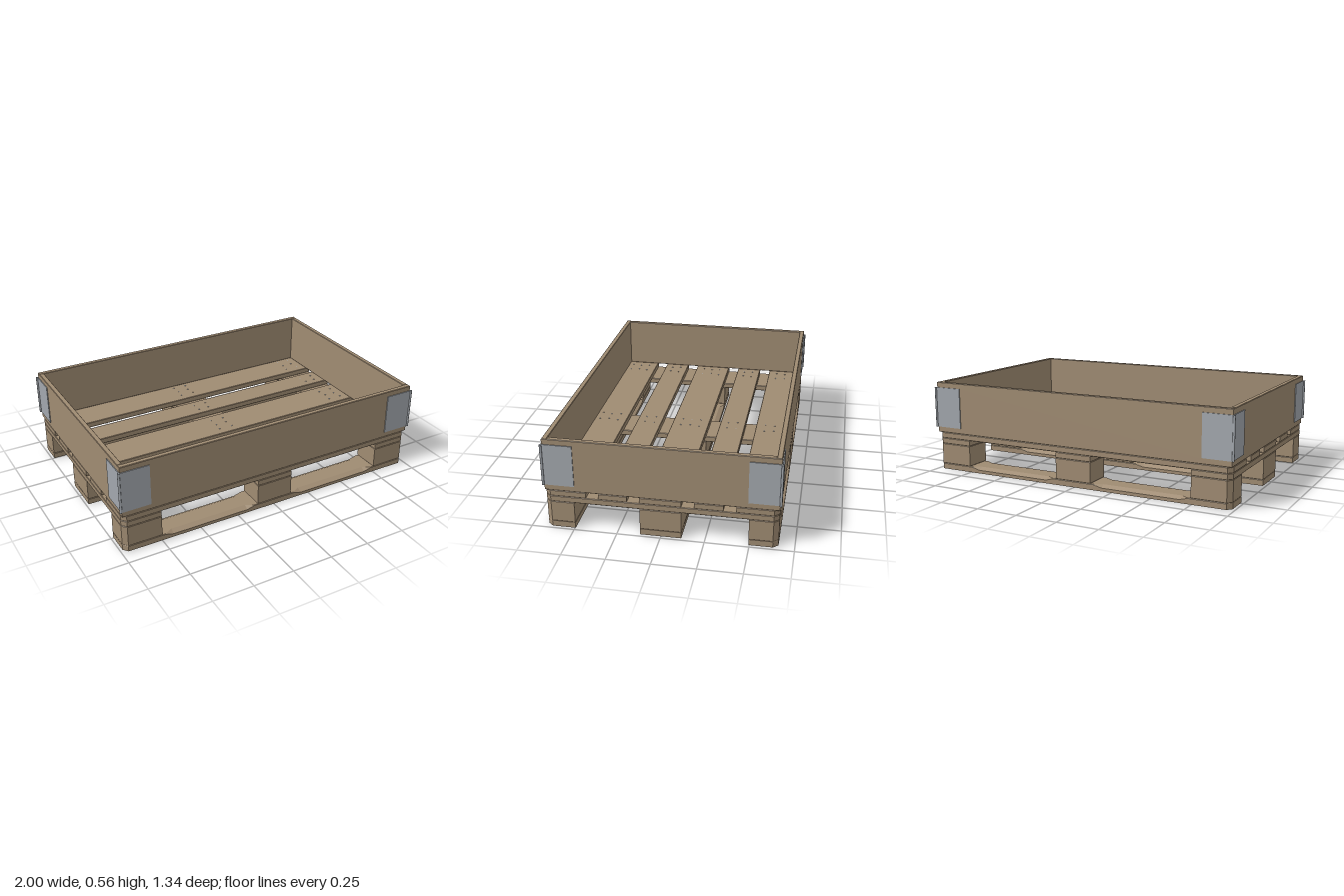
import * as THREE from 'three';

const HX = 0.985, HZ = 0.66;               // half length and half width of the pallet
const Y = [0.003, 0.039, 0.168, 0.204, 0.24, 0.56]; // layer heights

const wood = new THREE.MeshStandardMaterial({ color: 0x9f8b72 });
wood.name = 'wood';
const metal = new THREE.MeshStandardMaterial({ color: 0xa2a7ad });
metal.name = 'galvanised metal';

function add(parent, name, geometry, material) {
  const mesh = new THREE.Mesh(geometry, material);
  mesh.name = name;
  parent.add(mesh);
  return mesh;
}

// Board with slightly broken edges; corners on the pallet's outer corners can be cut off
function plank(x0, x1, z0, z1, y0, y1, cut = true) {
  const pts = [];
  for (const [x, z, first] of [[x0, z0, 'z'], [x1, z0, 'x'], [x1, z1, 'z'], [x0, z1, 'x']]) {
    if (cut && Math.abs(x) > HX - 0.001 && Math.abs(z) > HZ - 0.001) {
      const alongZ = [x, z - Math.sign(z) * 0.03];
      const alongX = [x - Math.sign(x) * 0.025, z];
      pts.push(...(first === 'z' ? [alongZ, alongX] : [alongX, alongZ]));
    } else pts.push([x, z]);
  }
  const b = 0.003;
  const shape = new THREE.Shape(pts.map(([x, z]) => new THREE.Vector2(x, -z)));
  return new THREE.ExtrudeGeometry(shape, {
    depth: y1 - y0 - 2 * b, bevelEnabled: true, bevelThickness: b,
    bevelSize: b, bevelOffset: -b, bevelSegments: 1,
  }).rotateX(-Math.PI / 2).translate(0, y0 + b, 0);
}

// Bottom runner: cross-sections along x, top edges chamfered between the blocks
function runner(z0, z1) {
  const half = [[0.14, 0], [0.19, 1], [0.68, 1], [0.73, 0], [HX - 0.025, 0], [HX, 0]];
  const stations = [...half.map(([x, c]) => [-x, c]).reverse(), ...half];
  const rings = stations.map(([x, c]) => {
    const end = Math.abs(x) === HX;
    const a = z0 + (end && z0 <= -HZ ? 0.03 : 0);
    const b = z1 - (end && z1 >= HZ ? 0.03 : 0);
    const dy = c ? 0.016 : 0.003, dz = c ? 0.03 : 0.003;
    return [[Y[0], a], [Y[1] - dy, a], [Y[1], a + dz], [Y[1], b - dz], [Y[1] - dy, b], [Y[0], b]]
      .map(([y, z]) => [x, y, z]);
  });
  const pos = [];
  for (let s = 0; s < rings.length - 1; s++) {
    for (let i = 0; i < 6; i++) {
      const j = (i + 1) % 6, p = rings[s], q = rings[s + 1];
      pos.push(...p[i], ...p[j], ...q[j], ...p[i], ...q[j], ...q[i]);
    }
  }
  const first = rings[0], last = rings[rings.length - 1];
  for (let i = 1; i < 5; i++) {
    pos.push(...last[0], ...last[i], ...last[i + 1]);
    pos.push(...first[0], ...first[i + 1], ...first[i]);
  }
  const g = new THREE.BufferGeometry();
  g.setAttribute('position', new THREE.Float32BufferAttribute(pos, 3));
  g.computeVertexNormals();
  return g;
}

export function createModel() {
  const model = new THREE.Group();
  model.name = 'palletWithCollar';
  const pallet = new THREE.Group();
  pallet.name = 'pallet';
  const collar = new THREE.Group();
  collar.name = 'collar';
  const nails = new THREE.Group();
  nails.name = 'nails';
  model.add(pallet, collar, nails);

  const columns = [[-HX, -0.75], [-0.117, 0.117], [0.75, HX]];
  const runners = [[-HZ, -0.495], [-0.118, 0.118], [0.495, HZ]];
  const deck = [[-HZ, -0.424], [-0.352, -0.19], [-0.118, 0.118], [0.19, 0.352], [0.424, HZ]];

  // Pallet: runners, nine blocks, cross boards and deck boards
  for (const [z0, z1] of runners) {
    add(pallet, 'bottomRunner', runner(z0, z1), wood);
    for (const [x0, x1] of columns) add(pallet, 'block', plank(x0, x1, z0, z1, Y[1], Y[2]), wood);
  }
  for (const [x0, x1] of columns) add(pallet, 'crossBoard', plank(x0, x1, -HZ, HZ, Y[2], Y[3]), wood);
  for (const [z0, z1] of deck) add(pallet, 'deckBoard', plank(-HX, HX, z0, z1, Y[3], Y[4]), wood);

  // Nail heads on the deck and under the runners
  const head = new THREE.CylinderGeometry(0.004, 0.005, 0.003, 10);
  const nailRows = (z0, z1, y) => {
    const mid = (z0 + z1) / 2;
    const rows = z1 - z0 > 0.2 ? [-0.06, 0, 0.06] : [-0.03, 0.03];
    for (const cx of [-0.865, 0, 0.865]) {
      rows.forEach((dz, i) => {
        for (const side of [-1, 1]) {
          const dx = side * (i % 2 ? 0.035 : 0.045);
          add(nails, 'nail', head, metal).position.set(cx + dx, y, mid + dz);
        }
      });
    }
  };
  for (const [z0, z1] of deck) nailRows(z0, z1, Y[4] + 0.001);
  for (const [z0, z1] of runners) nailRows(z0, z1, 0.0015);

  // Collar boards: long sides cover the ends of the short ones
  const t = 0.03;
  for (const s of [-1, 1]) {
    const zs = [s * HZ, s * (HZ - t)].sort((a, b) => a - b);
    const xs = [s * HX, s * (HX - t)].sort((a, b) => a - b);
    add(collar, 'longBoard', plank(-HX, HX, ...zs, Y[4], Y[5], false), wood);
    add(collar, 'shortBoard', plank(...xs, t - HZ, HZ - t, Y[4], Y[5], false), wood);
  }

  // Corner hinges: two plates and a pin at each corner
  const h = 0.252, yMid = 0.401, p = 0.005;
  for (const sx of [-1, 1]) for (const sz of [-1, 1]) {
    const hinge = new THREE.Group();
    hinge.name = 'cornerHinge';
    collar.add(hinge);
    add(hinge, 'longSidePlate', new THREE.BoxGeometry(0.178, h, p), metal)
      .position.set(sx * 0.9, yMid, sz * (HZ + p / 2));
    add(hinge, 'shortSidePlate', new THREE.BoxGeometry(p, h, 0.175), metal)
      .position.set(sx * (HX + p / 2), yMid, sz * 0.575);
    add(hinge, 'hingePin', new THREE.CylinderGeometry(0.007, 0.007, h, 16), metal)
      .position.set(sx * 0.993, yMid, sz * 0.664);
  }
  return model;
}
